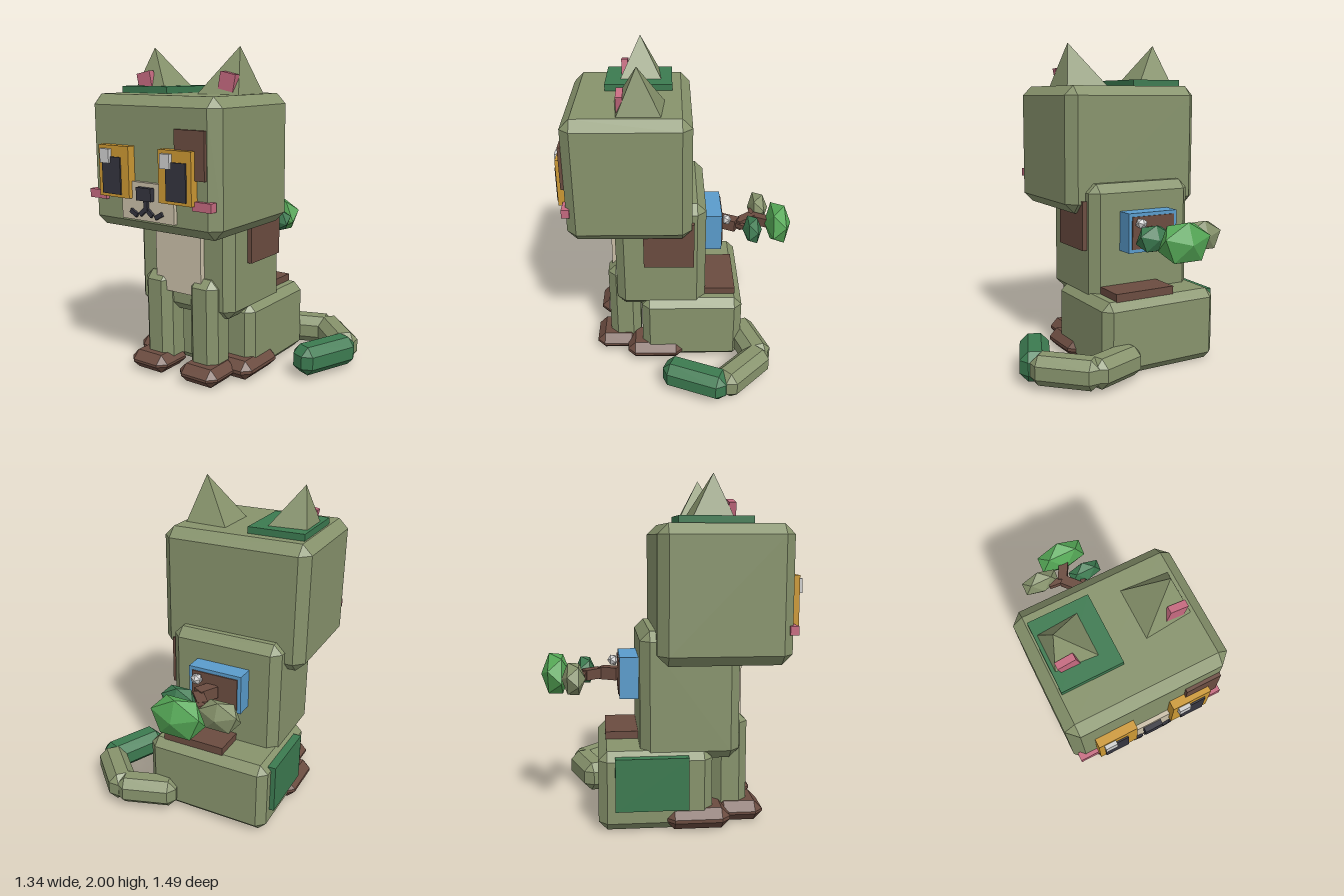
import * as THREE from 'three';
import { ConvexGeometry } from 'three/addons/geometries/ConvexGeometry.js';

const V = (x, y, z) => new THREE.Vector3(x, y, z);
const MID = -0.2; // the body's plane of symmetry

function paint(name, color) {
  const m = new THREE.MeshStandardMaterial({ color });
  m.name = name;
  return m;
}

// Box with chamfered edges and triangular corners, centred on the origin
function chamferBox(w, h, d, b) {
  const pts = [];
  for (const i of [-1, 1]) for (const j of [-1, 1]) for (const k of [-1, 1]) {
    const x = i * w / 2, y = j * h / 2, z = k * d / 2;
    pts.push(V(x, y - j * b, z - k * b), V(x - i * b, y, z - k * b), V(x - i * b, y - j * b, z));
  }
  return new ConvexGeometry(pts);
}

export function createModel() {
  const model = new THREE.Group();
  model.name = 'blockCat';

  const sage = paint('sage', 0x87936c);
  const forest = paint('forestGreen', 0x3c7a50);
  const leaf = paint('leafGreen', 0x55a856);
  const brown = paint('brown', 0x6b4c40);
  const cream = paint('cream', 0xcabfa8);
  const gold = paint('gold', 0xcc9833);
  const dark = paint('charcoal', 0x35353f);
  const pink = paint('pink', 0xc66a80);
  const blue = paint('blue', 0x5a9ccc);
  const silver = paint('silver', 0xcfcfcf);

  function add(name, geometry, material) {
    const mesh = new THREE.Mesh(geometry, material);
    mesh.name = name;
    model.add(mesh);
    return mesh;
  }
  // Boxes given by their limits on each axis; a bevel makes them chamfered
  function block(name, material, [x0, x1], [y0, y1], [z0, z1], bevel = 0) {
    const s = [x1 - x0, y1 - y0, z1 - z0];
    const g = bevel ? chamferBox(...s, bevel) : new THREE.BoxGeometry(...s);
    const mesh = add(name, g, material);
    mesh.position.set((x0 + x1) / 2, (y0 + y1) / 2, (z0 + z1) / 2);
    return mesh;
  }
  // Beam between two points
  function beam(name, material, a, b, size, bevel = 0) {
    const len = a.distanceTo(b);
    const g = bevel ? chamferBox(size, size, len, bevel) : new THREE.BoxGeometry(size, size, len);
    const mesh = add(name, g, material);
    mesh.position.copy(a).add(b).multiplyScalar(0.5);
    mesh.lookAt(b);
    return mesh;
  }
  // Limits mirrored about the symmetry plane
  const side = (s, near, far) => s > 0 ? [MID + near, MID + far] : [MID - far, MID - near];

  // Main masses
  block('head', sage, [-0.67, 0.27], [0.95, 1.73], [-0.08, 0.675], 0.06);
  block('torso', sage, [-0.56, 0.16], [0.395, 1.135], [-0.17, 0.4], 0.055);
  block('haunches', sage, [-0.6, 0.2], [0.0, 0.46], [-0.41, 0.24], 0.05);

  // Patches
  block('bellyPatch', cream, [-0.375, -0.03], [0.53, 1.0], [0.38, 0.435]);
  block('flankPatch', brown, [0.14, 0.19], [0.725, 1.03], [-0.095, 0.22]);
  block('rumpPatch', brown, [-0.3, 0.105], [0.44, 0.505], [-0.365, -0.14]);
  block('hipPatch', forest, [-0.63, -0.58], [0.13, 0.435], [-0.315, 0.1]);
  block('crownPatch', forest, [-0.6, -0.25], [1.71, 1.77], [0.035, 0.45]);
  block('browPatch', brown, [0, 0.205], [1.285, 1.555], [0.65, 0.695]);
  block('muzzle', cream, [-0.39, -0.005], [1.025, 1.245], [0.65, 0.7]);

  for (const s of [-1, 1]) {
    const tag = s > 0 ? 'left' : 'right';

    // Legs and paws
    block(tag + 'FrontLeg', sage, side(s, 0.072, 0.277), [0.03, 0.64], [0.255, 0.46], 0.05);
    block(tag + 'FrontPaw', brown, side(s, 0.05, 0.335), [0.005, 0.12], [0.27, 0.55], 0.05);
    block(tag + 'HindPaw', brown, side(s, 0.18, 0.44), [0.005, 0.125], [-0.03, 0.34], 0.05);

    // Ears: pyramids leaning outwards
    const x = (d) => MID + s * d;
    add(tag + 'Ear', new ConvexGeometry([
      V(x(0.11), 1.72, 0.075), V(x(0.11), 1.72, 0.385),
      V(x(0.393), 1.72, 0.095), V(x(0.393), 1.72, 0.36), V(x(0.32), 2.0, 0.235),
    ]), sage);
    const inner = add(tag + 'InnerEar', new THREE.BoxGeometry(0.105, 0.1, 0.04), pink);
    inner.position.set(x(0.308), 1.802, 0.335);
    inner.rotation.z = -s * 0.2;

    // Eyes, with both highlights on the same side
    block(tag + 'EyeFrame', gold, side(s, 0.11, 0.34), [1.147, 1.445], [0.66, 0.726]);
    block(tag + 'Pupil', dark, side(s, 0.168, 0.308), [1.165, 1.38], [0.71, 0.735]);
    const hx = s > 0 ? -0.06 : -0.51;
    block(tag + 'EyeHighlight', silver, [hx, hx + 0.068], [1.343, 1.425], [0.71, 0.749]);
    block(tag + 'Cheek', pink, side(s, 0.32, 0.45), [1.12, 1.172], [0.65, 0.698]);

    // Mouth curls
    for (const [d, y, tilt] of [[0.024, 1.078, -0.7], [0.092, 1.066, 0.5]]) {
      const curl = add(tag + 'MouthCurl', new THREE.BoxGeometry(0.056, 0.026, 0.03), dark);
      curl.position.set(x(d), y, 0.7);
      curl.rotation.z = s * tilt;
    }
  }
  block('nose', dark, [-0.255, -0.147], [1.145, 1.22], [0.69, 0.73]);
  block('mouthStem', dark, [-0.214, -0.186], [1.085, 1.15], [0.69, 0.716]);

  // Tail: three thick chamfered segments curling forward
  beam('tailBase', sage, V(0.0, 0.115, -0.4), V(0.365, 0.115, -0.525), 0.18, 0.05);
  beam('tailMiddle', sage, V(0.305, 0.115, -0.545), V(0.605, 0.115, -0.255), 0.18, 0.05);
  beam('tailTip', forest, V(0.605, 0.115, -0.3), V(0.44, 0.115, 0.09), 0.18, 0.05);

  // Planter on the back, its soil facing backwards
  block('planter', blue, [-0.375, -0.03], [0.72, 0.965], [-0.28, -0.15]);
  block('soil', brown, [-0.352, -0.052], [0.742, 0.943], [-0.287, -0.278]);

  // Little tree growing out of the planter
  const trunk = [V(-0.2, 0.84, -0.28), V(-0.145, 0.84, -0.385), V(-0.235, 0.84, -0.49), V(-0.175, 0.84, -0.6)];
  [0.075, 0.062, 0.06].forEach((w, i) => beam('trunk', brown, trunk[i], trunk[i + 1], w));
  beam('twig', brown, trunk[2], V(-0.33, 0.84, -0.5), 0.04);
  beam('twig', brown, trunk[1], V(-0.09, 0.84, -0.46), 0.03);

  // Foliage and pebble: squashed icosahedra with a point facing backwards
  const clump = new THREE.IcosahedronGeometry(1, 0);
  clump.rotateX(Math.atan(2 / (1 + Math.sqrt(5))));
  for (const [name, mat, p, s] of [
    ['foliageTop', leaf, [-0.168, 0.84, -0.657], [0.18, 0.14, 0.088]],
    ['foliageSide', sage, [-0.372, 0.845, -0.545], [0.138, 0.106, 0.07]],
    ['foliageLow', forest, [-0.075, 0.843, -0.482], [0.123, 0.093, 0.063]],
    ['pebble', silver, [-0.098, 0.905, -0.312], [0.038, 0.036, 0.034]],
  ]) {
    const mesh = add(name, clump, mat);
    mesh.position.set(...p);
    mesh.scale.set(...s);
  }
  return model;
}
